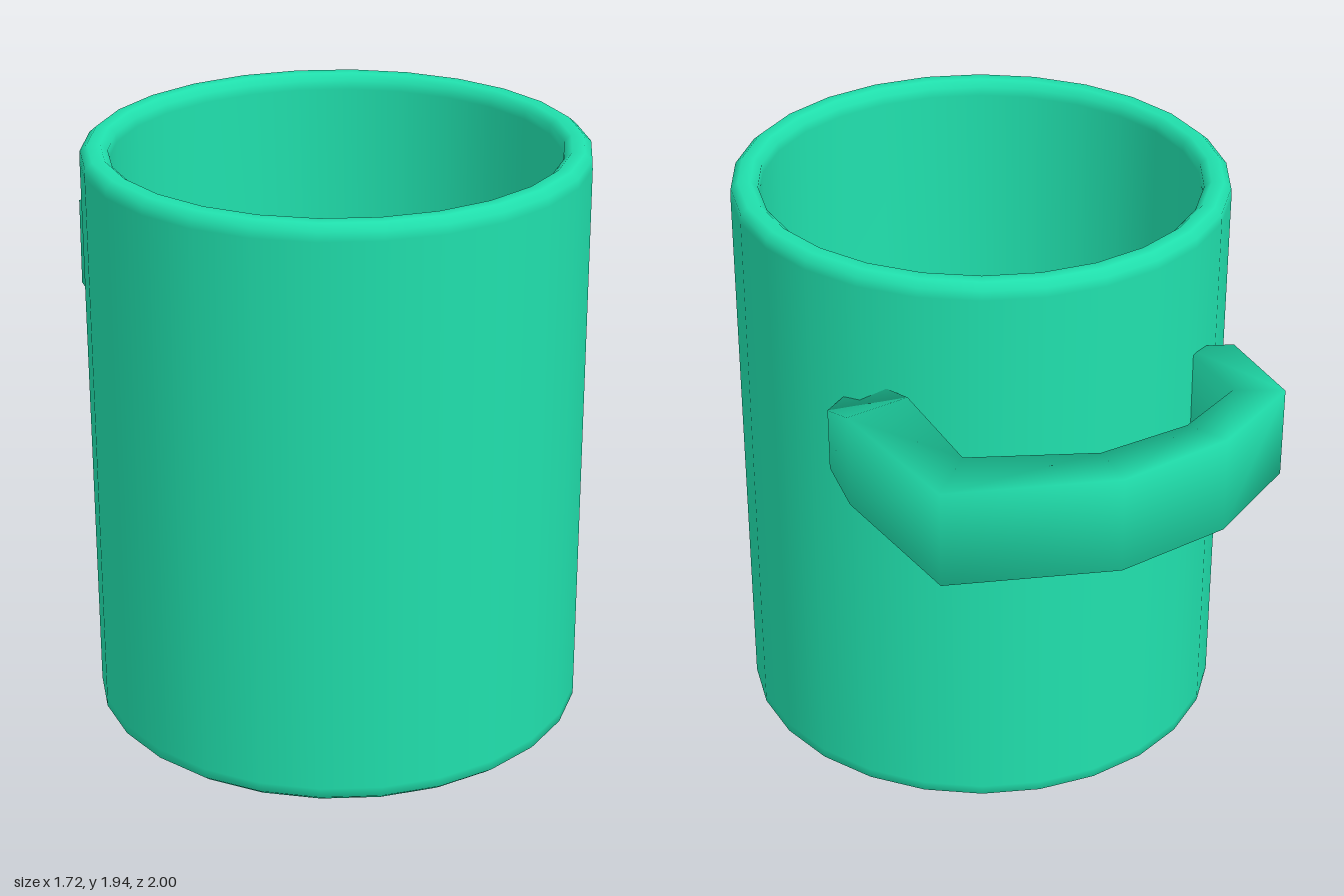
import * as THREE from 'three';

const material = new THREE.MeshStandardMaterial({ color: 0x20e0ad, side: THREE.DoubleSide });

// Hollow cup turned from one profile: underside, outer wall, rim, inner wall, floor
function createCup() {
  const profile = [
    [0, 0], [0.775, 0], [0.8, 0.02], [0.8, 0.05], [0.8, 1.86], [0.798, 1.89], [0.775, 1.91],
    [0.735, 1.91], [0.712, 1.89], [0.71, 1.86], [0.705, 0.14], [0.68, 0.1], [0, 0.1],
  ].map(([r, y]) => new THREE.Vector2(r, y));
  const cup = new THREE.Mesh(new THREE.LatheGeometry(profile, 26), material);
  cup.name = 'cup';
  cup.position.set(-0.04, 0.017, 0.18);
  cup.rotation.set(0.009, 0, 0.0145); // slight lean
  return cup;
}

// Angular handle: a four-sided band lofted through sections
function createHandle() {
  // outer x, outer z, inner x, inner z, bottom y, outer top y, inner top y
  const sections = [
    [-0.46, -0.57, -0.28, -0.52, 1.2, 1.46, 1.5],
    [-0.33, -0.91, -0.2, -0.81, 1.19, 1.49, 1.5],
    [0.02, -1.0, 0.05, -0.86, 1.18, 1.5, 1.5],
    [0.4, -0.95, 0.36, -0.81, 1.18, 1.5, 1.51],
    [0.86, -0.66, 0.7, -0.58, 1.19, 1.51, 1.53],
    [0.81, -0.18, 0.63, -0.25, 1.22, 1.53, 1.56],
    [0.735, 0.01, 0.66, -0.08, 1.23, 1.44, 1.56],
  ];
  const positions = [];
  const indices = [];
  for (const [ox, oz, ix, iz, bottom, outerTop, innerTop] of sections) {
    positions.push(ox, bottom, oz, ox, outerTop, oz, ix, innerTop, iz, ix, bottom, iz);
  }
  for (let s = 0; s < sections.length - 1; s++) {
    for (let k = 0; k < 4; k++) {
      const a = s * 4 + k, b = s * 4 + (k + 1) % 4;
      indices.push(a, b, a + 4, b, b + 4, a + 4);
    }
  }
  // End caps
  const e = (sections.length - 1) * 4;
  indices.push(0, 2, 1, 0, 3, 2, e, e + 1, e + 2, e, e + 2, e + 3);

  const geometry = new THREE.BufferGeometry();
  geometry.setAttribute('position', new THREE.Float32BufferAttribute(positions, 3));
  geometry.setIndex(indices);
  geometry.computeVertexNormals();
  const handle = new THREE.Mesh(geometry, material);
  handle.name = 'handle';
  return handle;
}

export function createModel() {
  const mug = new THREE.Group();
  mug.name = 'mug';
  mug.add(createCup(), createHandle());
  return mug;
}
